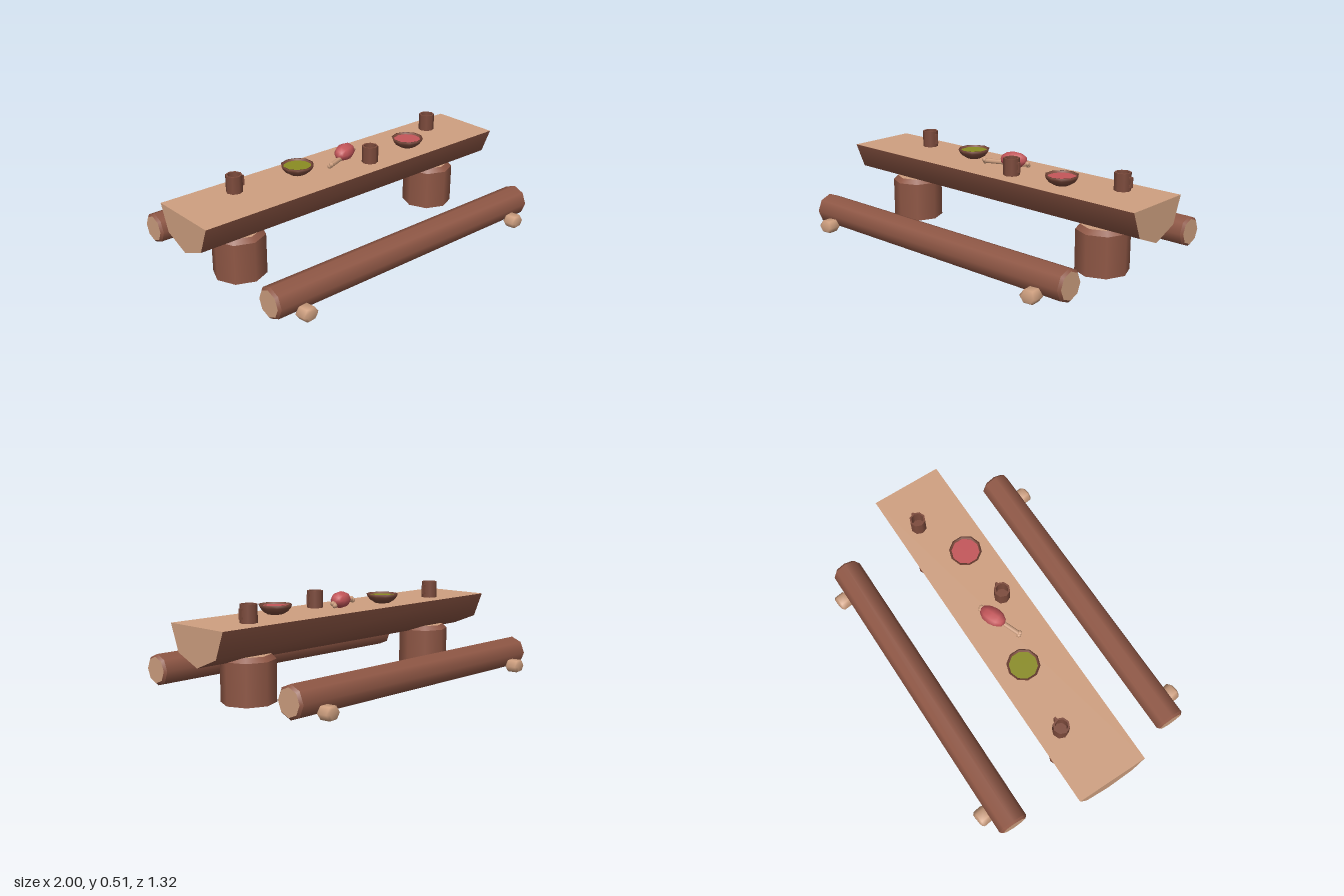
import * as THREE from 'three';

const mat = (name, color, side = THREE.FrontSide) => {
  const m = new THREE.MeshStandardMaterial({ color, side });
  m.name = name;
  return m;
};

export function createModel() {
  const bark = mat('bark', 0x8f5745);
  const cutWood = mat('cut wood', 0xcfa080);
  const darkWood = mat('dark wood', 0x7d4b3c, THREE.DoubleSide);
  const red = mat('red food', 0xc4565a);
  const green = mat('green soup', 0x8a8c22);

  const root = new THREE.Group();
  root.name = 'feastTable';

  const group = (name, x, y, z, parent = root) => {
    const g = new THREE.Group();
    g.name = name;
    g.position.set(x, y, z);
    parent.add(g);
    return g;
  };
  const add = (parent, name, geo, material, x = 0, y = 0, z = 0) => {
    const m = new THREE.Mesh(geo, material);
    m.name = name;
    m.position.set(x, y, z);
    parent.add(m);
    return m;
  };

  // Upright log centred on its origin, with chamfered ends and cut faces
  const log = (g, r, len, topChamfer, bottomChamfer, bodyMat, capMat, sides = 8) => {
    const h = len / 2;
    add(g, 'body', new THREE.CylinderGeometry(r, r, len - topChamfer - bottomChamfer, sides, 1, true),
      bodyMat, 0, (bottomChamfer - topChamfer) / 2, 0);
    for (const [s, c] of [[1, topChamfer], [-1, bottomChamfer]]) {
      const end = r - c;
      if (c > 0) {
        add(g, 'chamfer', new THREE.CylinderGeometry(s > 0 ? end : r, s > 0 ? r : end, c, sides, 1, true),
          bodyMat, 0, s * (h - c / 2), 0);
      }
      const cap = new THREE.CircleGeometry(end, sides);
      cap.rotateX(-s * Math.PI / 2);
      add(g, 'cutFace', cap, capMat, 0, s * h, 0);
    }
    return g;
  };

  // Table: half log with a smooth bark underside and flat cut faces
  const section = [[0.2, 0.415], [0.145, 0.275], [0, 0.216], [-0.145, 0.275], [-0.2, 0.415]];
  const table = group('tableTop', 0, 0, 0);
  const hull = new THREE.PlaneGeometry(2, 1, 1, 4);
  const p = hull.attributes.position;
  for (let i = 0; i < p.count; i++) {
    const [z, y] = section[Math.floor(i / 2)];
    p.setXYZ(i, p.getX(i), y, z);
  }
  hull.computeVertexNormals();
  add(table, 'barkUnderside', hull, bark);
  const top = new THREE.PlaneGeometry(2, 0.4);
  top.rotateX(-Math.PI / 2);
  add(table, 'surface', top, cutWood, 0, 0.415, 0);
  const endShape = new THREE.Shape(section.map(([z, y]) => new THREE.Vector2(z, y)));
  for (const s of [-1, 1]) {
    const end = add(table, 'endFace', new THREE.ShapeGeometry(endShape), cutWood, s, 0, 0);
    end.rotation.y = s * Math.PI / 2;
  }

  // Stump legs
  for (const s of [-1, 1]) {
    log(group('stumpLeg', s * 0.685, 0.1225, 0), 0.142, 0.245, 0.025, 0, bark, cutWood);
  }

  // Log benches with short cut-branch pegs
  for (const s of [-1, 1]) {
    const bench = group('bench', 0, 0.117, s * 0.513);
    const trunk = group('trunk', 0, 0, 0, bench);
    trunk.rotation.z = -Math.PI / 2;
    log(trunk, 0.084, 1.768, 0.013, 0.013, bark, cutWood);
    for (const x of [-0.743, 0.74]) {
      const peg = group('branchPeg', x, -0.053, s * 0.107, bench);
      peg.rotation.y = 0.12;
      const profile = [[0, -0.037], [0.036, -0.037], [0.049, -0.026], [0.049, 0.026], [0.036, 0.037], [0, 0.037]];
      const geo = new THREE.LatheGeometry(profile.map(([a, b]) => new THREE.Vector2(a, b)), 6);
      geo.rotateY(Math.PI / 6 * 3);
      geo.rotateX(Math.PI / 2);
      geo.scale(1, 0.76, 1);
      add(peg, 'stub', geo, cutWood);
    }
  }

  // Mugs with square handles
  for (const [x, z] of [[-0.645, -0.075], [0.14, 0.083], [0.74, -0.075]]) {
    const mug = group('mug', x, 0.415, z);
    add(mug, 'outerWall', new THREE.CylinderGeometry(0.044, 0.044, 0.093, 8, 1, true), darkWood, 0, 0.0465, 0);
    add(mug, 'innerWall', new THREE.CylinderGeometry(0.034, 0.034, 0.07, 8, 1, true), darkWood, 0, 0.058, 0);
    const rim = new THREE.RingGeometry(0.034, 0.044, 8);
    rim.rotateX(-Math.PI / 2);
    add(mug, 'rim', rim, darkWood, 0, 0.093, 0);
    const floor = new THREE.CircleGeometry(0.034, 8);
    floor.rotateX(-Math.PI / 2);
    add(mug, 'floor', floor, darkWood, 0, 0.023, 0);
    add(mug, 'handleGrip', new THREE.BoxGeometry(0.009, 0.054, 0.012), darkWood, 0.054, 0.048, 0);
    for (const y of [0.026, 0.07]) {
      add(mug, 'handleArm', new THREE.BoxGeometry(0.016, 0.01, 0.012), darkWood, 0.046, y, 0);
    }
  }

  // Bowls with their contents
  for (const [x, z, food] of [[-0.26, -0.047, green], [0.455, 0.052, red]]) {
    const bowl = group('bowl', x, 0.415, z);
    const profile = [[0, 0.001], [0.042, 0.001], [0.068, 0.017], [0.083, 0.036], [0.089, 0.052], [0.079, 0.052], [0.074, 0.036]];
    add(bowl, 'shell', new THREE.LatheGeometry(profile.map(([a, b]) => new THREE.Vector2(a, b)), 10), darkWood);
    const fill = new THREE.CircleGeometry(0.077, 10);
    fill.rotateX(-Math.PI / 2);
    fill.rotateY(Math.PI / 10 * 5);
    add(bowl, 'contents', fill, food, 0, 0.043, 0);
  }

  // Meat on the bone
  const roast = group('roast', 0.017, 0.442, -0.01);
  roast.rotation.y = 0.37;
  const bone = new THREE.CylinderGeometry(0.013, 0.013, 0.25, 6);
  bone.rotateZ(Math.PI / 2);
  add(roast, 'bone', bone, cutWood);
  for (const s of [-1, 1]) {
    for (const k of [-1, 1]) {
      add(roast, 'boneKnob', new THREE.SphereGeometry(0.014, 6, 5), cutWood, s * 0.125, k * 0.005, k * 0.005);
    }
  }
  const meat = new THREE.SphereGeometry(1, 8, 6);
  meat.rotateZ(Math.PI / 2);
  meat.scale(0.077, 0.046, 0.05);
  add(roast, 'meat', meat, red, 0.044, 0.018, -0.005);

  return root;
}
